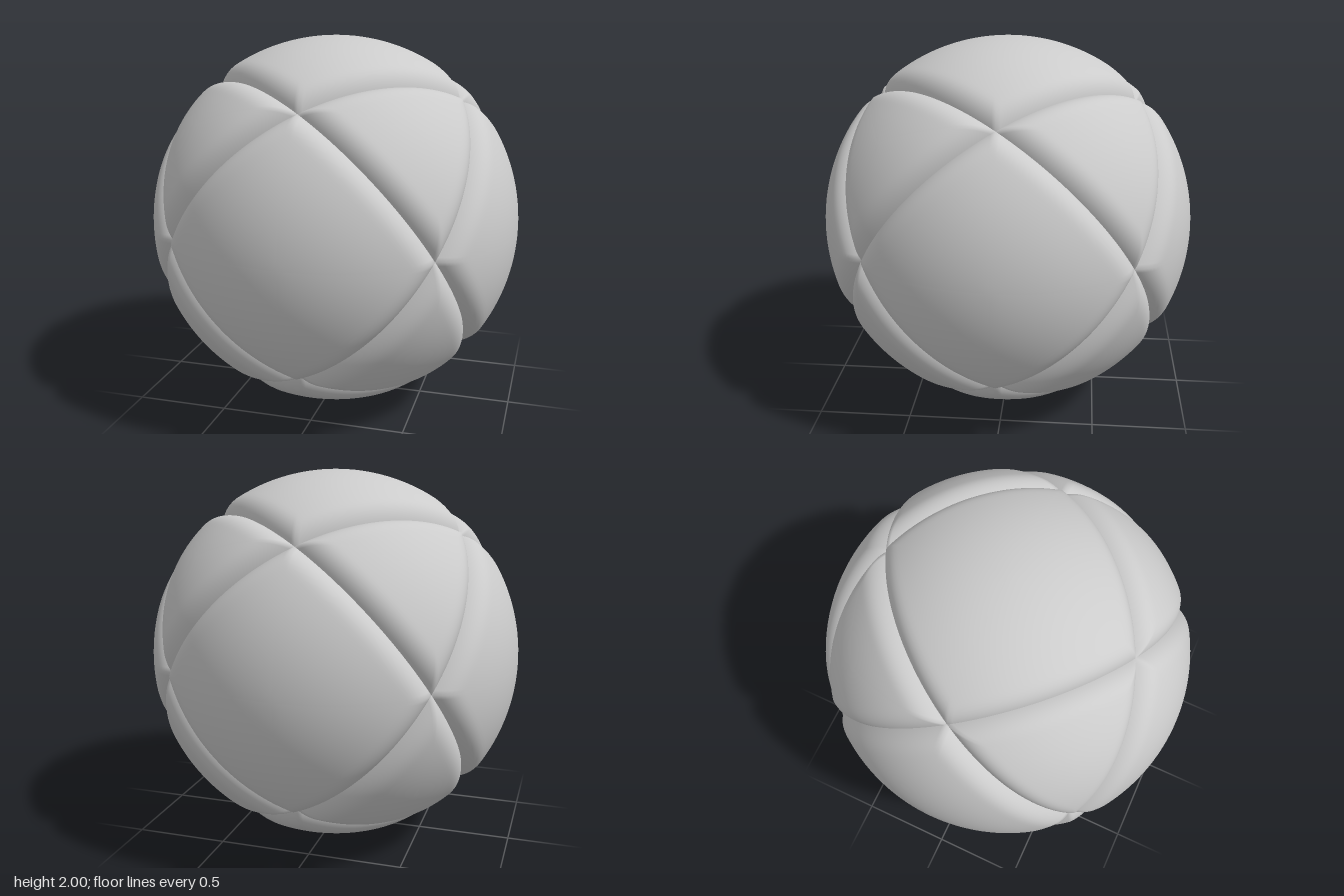
import * as THREE from 'three';
import { mergeVertices } from 'three/addons/utils/BufferGeometryUtils.js';

const SEAM_DEPTH = 0.053, BEVEL = 0.125, ALONG = 32, ROWS = 24;

// Unit normals of the four great circles that carry the seams
const seams = [[1, 1, 1], [-1, 1, 1], [1, -1, 1], [1, 1, -1]]
  .map(n => new THREE.Vector3(...n).normalize());

// The twelve points where seams cross
const crossings = [];
for (const a of [-1, 1]) for (const b of [-1, 1])
  crossings.push(new THREE.Vector3(a, b, 0), new THREE.Vector3(a, 0, b), new THREE.Vector3(0, a, b));
crossings.forEach(v => v.normalize());

// Push a direction onto the ball, rolling down into the nearest seam
function onBall(dir) {
  dir.normalize();
  const d = Math.min(...seams.map(n => Math.abs(n.dot(dir))));
  const t = Math.max(0, 1 - d / BEVEL);
  return dir.multiplyScalar(1 - SEAM_DEPTH * t ** 2.4);
}

// Corners of the panel around a centre, counter-clockwise seen from outside
function panelCorners(centre) {
  const best = Math.max(...crossings.map(v => v.dot(centre)));
  const corners = crossings.filter(v => v.dot(centre) > best - 1e-6);
  const e1 = corners[0].clone().addScaledVector(centre, -best).normalize();
  const e2 = centre.clone().cross(e1);
  const angle = v => Math.atan2(v.dot(e2), v.dot(e1));
  return corners.sort((p, q) => angle(p) - angle(q));
}

// One cushioned panel: a wedge from the centre to each edge, rows denser at the seam
function panelGeometry(centre) {
  const corners = panelCorners(centre);
  const pos = [], index = [];
  corners.forEach((a, k) => {
    const b = corners[(k + 1) % corners.length];
    const base = pos.length / 3;
    for (let j = 0; j <= ROWS; j++) {
      const v = 1 - (1 - j / ROWS) ** 1.8;
      for (let i = 0; i <= ALONG; i++) {
        const edge = a.clone().lerp(b, i / ALONG);
        pos.push(...onBall(centre.clone().lerp(edge, v)));
        if (j === ROWS || i === ALONG) continue;
        const p = base + j * (ALONG + 1) + i, q = p + ALONG + 1;
        index.push(p, q, q + 1);
        if (j > 0) index.push(p, q + 1, p + 1);
      }
    }
  });
  const geo = new THREE.BufferGeometry();
  geo.setAttribute('position', new THREE.Float32BufferAttribute(pos, 3));
  geo.setIndex(index);
  const merged = mergeVertices(geo, 1e-5);
  merged.computeVertexNormals();
  return merged;
}

export function createModel() {
  const ball = new THREE.Group();
  ball.name = 'panelledBall';
  const material = new THREE.MeshStandardMaterial({ color: 0xcccccc });
  const addPanel = (name, x, y, z) => {
    const mesh = new THREE.Mesh(panelGeometry(new THREE.Vector3(x, y, z).normalize()), material);
    mesh.name = name;
    mesh.position.y = 1;
    ball.add(mesh);
  };

  // Six square panels on the axes
  addPanel('squarePanelLeft', 1, 0, 0);
  addPanel('squarePanelRight', -1, 0, 0);
  addPanel('squarePanelTop', 0, 1, 0);
  addPanel('squarePanelBottom', 0, -1, 0);
  addPanel('squarePanelFront', 0, 0, 1);
  addPanel('squarePanelBack', 0, 0, -1);

  // Eight triangular panels on the diagonals
  for (const x of [1, -1]) for (const y of [1, -1]) for (const z of [1, -1])
    addPanel('trianglePanel' + (y > 0 ? 'Top' : 'Bottom') + (z > 0 ? 'Front' : 'Back') + (x > 0 ? 'Left' : 'Right'), x, y, z);

  return ball;
}
